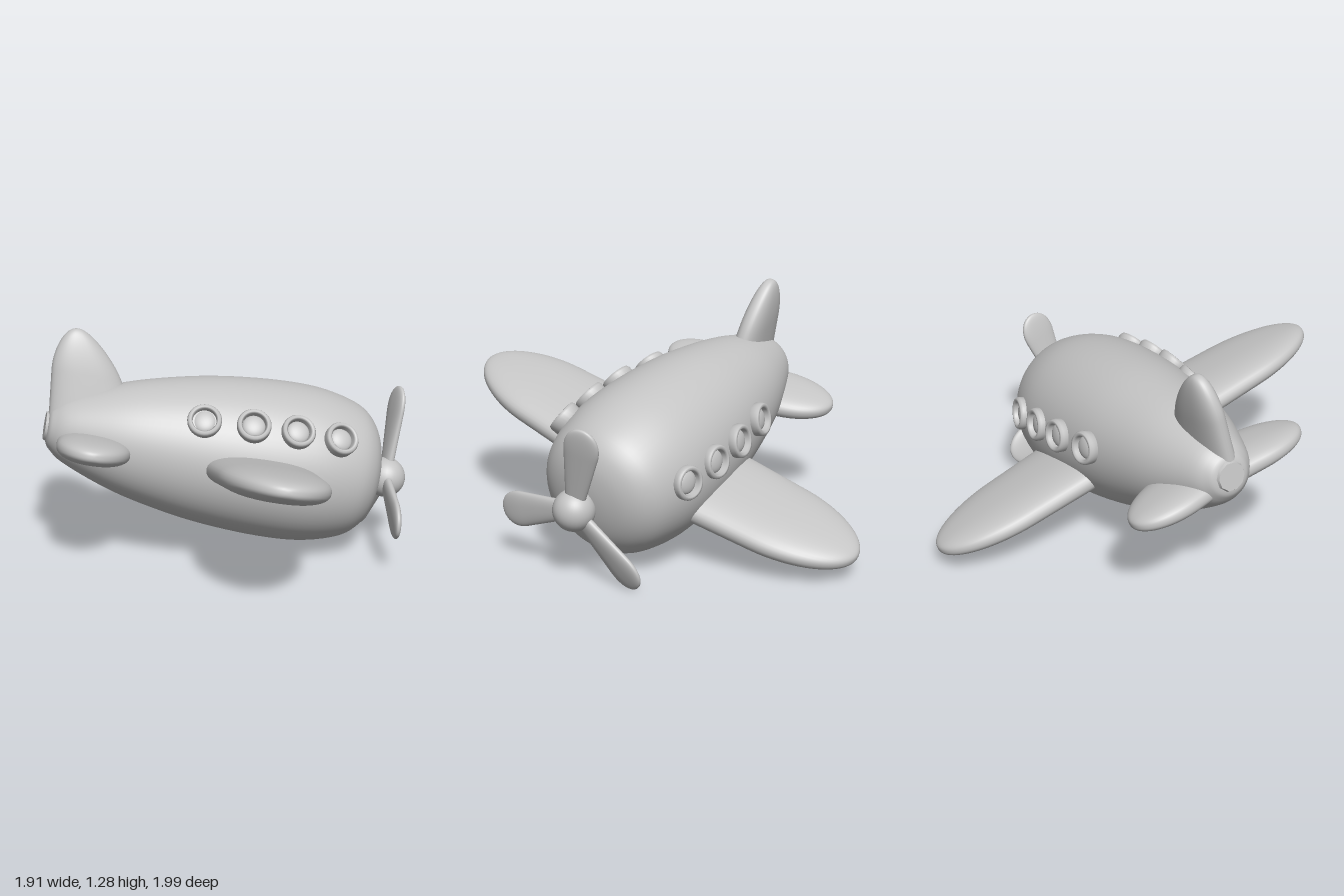
import * as THREE from 'three';
import { mergeVertices } from 'three/addons/utils/BufferGeometryUtils.js';

const grey = new THREE.MeshStandardMaterial({ color: 0xc4c4c4 });
grey.name = 'plainGrey';

function mesh(name, geometry, parent) {
  const m = new THREE.Mesh(geometry, grey);
  m.name = name;
  parent.add(m);
  return m;
}

// Rounded fin growing along +y: chord along z, thickness along x, with a full, blunt section.
// root and tip are [y, chord centre z, half chord, half thickness]; rounding starts at fraction "round".
function paddle(root, tip, round) {
  const g = new THREE.CylinderGeometry(1, 1, 1, 40, 32, true);
  const p = g.attributes.position;
  const full = v => Math.sign(v) * Math.abs(v) ** 0.85;
  for (let i = 0; i < p.count; i++) {
    const s = Math.sin((p.getY(i) + 0.5) * Math.PI / 2);
    const u = Math.max(0, (s - round) / (1 - round));
    const k = Math.sqrt(Math.max(0, 1 - u * u));
    const [y, c, h, t] = root.map((v, j) => THREE.MathUtils.lerp(v, tip[j], s));
    p.setXYZ(i, full(p.getX(i)) * t * k ** 0.7, y, c + full(p.getZ(i)) * h * k);
  }
  g.deleteAttribute('normal');
  g.deleteAttribute('uv');
  const smooth = mergeVertices(g, 1e-5);
  smooth.computeVertexNormals();
  return smooth;
}

// Smooth solid of revolution around z from [z, radius] points, back to front.
function turned(points) {
  const curve = new THREE.SplineCurve(points.map(([z, r]) => new THREE.Vector2(r, z)));
  const pts = curve.getPoints(64).map(v => new THREE.Vector2(Math.max(0, v.x), v.y));
  return new THREE.LatheGeometry(pts, 64).rotateX(Math.PI / 2);
}

function createWindow(name) {
  const w = new THREE.Group();
  w.name = name;
  // raised frame with a rounded lip
  const ring = [[0.06, -0.05], [0.09, -0.05], [0.092, 0.012], [0.085, 0.026], [0.072, 0.028], [0.064, 0.018], [0.06, -0.05]];
  mesh('windowFrame', new THREE.LatheGeometry(ring.map(a => new THREE.Vector2(...a)), 32).rotateX(Math.PI / 2), w);
  // shallow domed pane
  const pane = mesh('windowPane', new THREE.SphereGeometry(0.062, 24, 16), w);
  pane.scale.z = 0.4;
  pane.position.z = -0.012;
  return w;
}

export function createModel() {
  const model = new THREE.Group();
  model.name = 'toyAirplane';

  // Airplane space: nose +z, left +x, up +y, origin at the propeller hub
  const plane = new THREE.Group();
  plane.name = 'airplane';
  model.add(plane);

  // Fuselage, ending in a small flat tail cap
  const fuselage = mesh('fuselage', turned([
    [-1.9, 0], [-1.905, 0.05], [-1.905, 0.085], [-1.88, 0.125], [-1.79, 0.19], [-1.53, 0.295], [-1.26, 0.365],
    [-1.0, 0.41], [-0.7, 0.435], [-0.45, 0.43], [-0.25, 0.385], [-0.15, 0.325], [-0.09, 0.235], [-0.06, 0.12], [-0.05, 0],
  ]), plane);
  fuselage.position.set(0.035, 0.01, 0);
  fuselage.rotation.y = 0.025;
  const cap = mesh('tailCap', new THREE.CylinderGeometry(0.075, 0.095, 0.04, 10).rotateX(-Math.PI / 2), fuselage);
  cap.position.z = -1.9;

  // Tail assembly, slightly rolled against the wings
  const tail = new THREE.Group();
  tail.name = 'tailAssembly';
  tail.position.set(-0.025, 0, -1.66);
  tail.rotation.set(0, 0.07, 0.06);
  plane.add(tail);
  mesh('tailFin', paddle([0.08, 0, 0.25, 0.08], [0.555, -0.165, 0.13, 0.065], 0.5), tail);

  // Wings and tailplanes
  for (const side of [1, -1]) {
    const label = side > 0 ? 'left' : 'right';
    const wing = paddle([0.2, -0.745, 0.325, 0.1], [1.24, -0.785, 0.265, 0.08], 0.55);
    mesh(label + 'Wing', wing.rotateZ(-side * Math.PI / 2), plane).position.set(0.012, -0.075, 0);
    const tailplane = paddle([0.05, 0.01, 0.2, 0.08], [0.54, -0.05, 0.2, 0.07], 0.35);
    mesh(label + 'Tailplane', tailplane.rotateZ(-side * Math.PI / 2), tail).position.y = -0.055;
  }

  // Four windows on each side: [z, fuselage radius, lean of the surface]
  const spots = [[-0.37, 0.437, 0.14], [-0.61, 0.45, 0.03], [-0.85, 0.441, -0.1], [-1.11, 0.405, -0.18]];
  const angle = 0.44;
  for (const side of [1, -1]) {
    for (const [z, r, lean] of spots) {
      const w = createWindow(side > 0 ? 'leftWindow' : 'rightWindow');
      const out = new THREE.Vector3(side * Math.cos(angle), Math.sin(angle), lean).normalize();
      w.position.set(0.016 + side * r * Math.cos(angle), r * Math.sin(angle), z - 0.012 * side - 0.012);
      w.quaternion.setFromUnitVectors(new THREE.Vector3(0, 0, 1), out);
      plane.add(w);
    }
  }

  // Propeller
  const propeller = new THREE.Group();
  propeller.name = 'propeller';
  plane.add(propeller);
  mesh('propellerHub', new THREE.SphereGeometry(0.112, 32, 24), propeller);
  for (let i = 0; i < 3; i++) {
    const blade = paddle([0.04, 0, 0.05, 0.028], [0.515, 0, 0.118, 0.026], 0.68).rotateY(Math.PI / 2 + 0.15);
    mesh('propellerBlade', blade, propeller).rotation.z = i * Math.PI * 2 / 3;
  }

  // Banked, diving flight pose
  const pose = new THREE.Matrix4().makeBasis(
    new THREE.Vector3(0.685, -0.285, -0.671),
    new THREE.Vector3(0.34, 0.939, -0.0525),
    new THREE.Vector3(0.645, -0.192, 0.74),
  );
  plane.quaternion.setFromRotationMatrix(pose);
  plane.position.set(0.58, 0.415, 0.69);
  return model;
}
